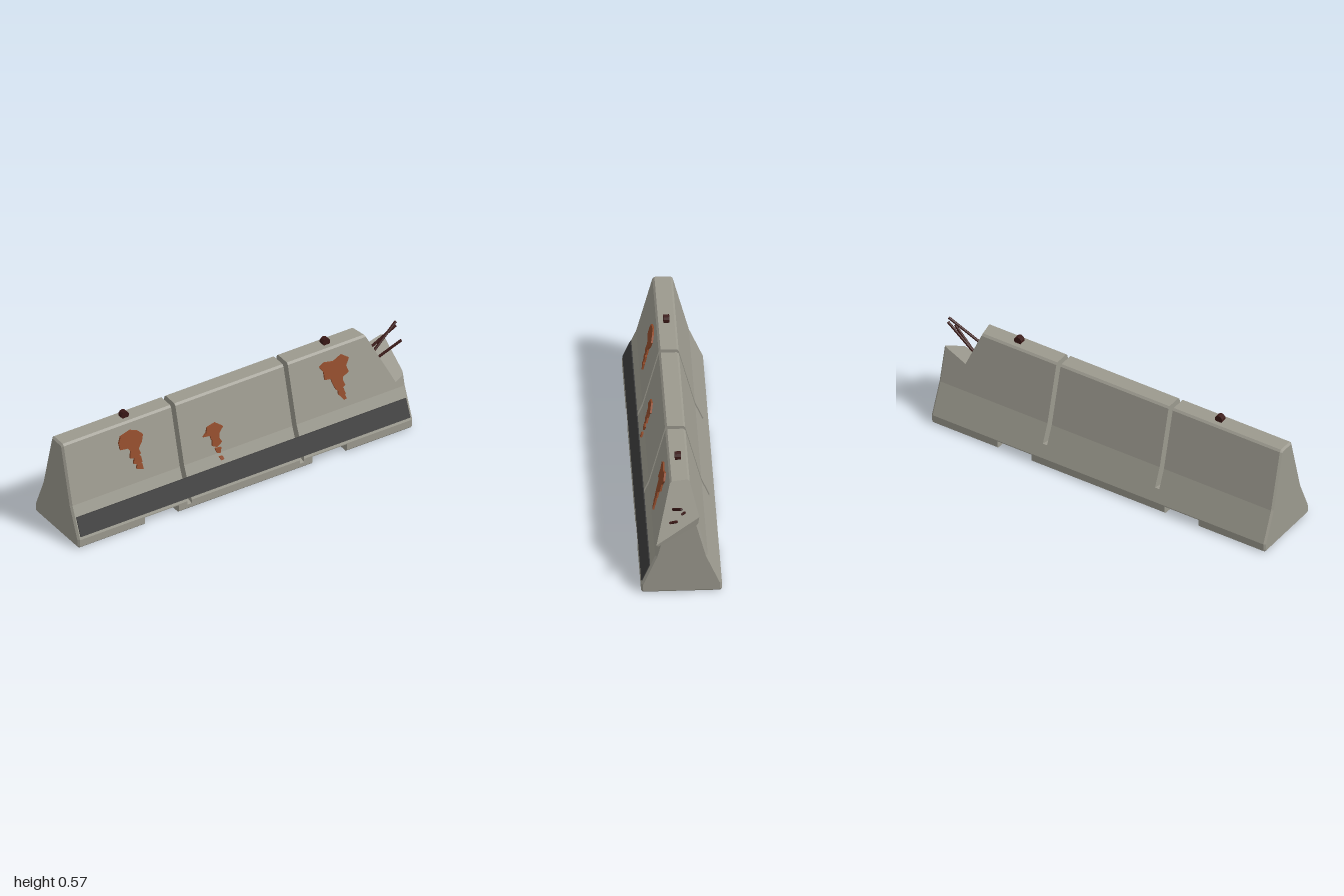
import * as THREE from 'three';
import { ConvexGeometry } from 'three/addons/geometries/ConvexGeometry.js';
import { mergeGeometries } from 'three/addons/utils/BufferGeometryUtils.js';

const X0 = -1, X1 = 0.965, CH = 0.01, WAIST = 0.215;

// half-space a*x + b*y + c*z <= d
const half = (a, b, c, d) => ({ n: new THREE.Vector3(a, b, c), d });

// convex solid: every corner where three planes meet inside all the others
function solid(planes) {
  const pts = [], m = new THREE.Matrix3();
  for (let i = 0; i < planes.length; i++)
    for (let j = i + 1; j < planes.length; j++)
      for (let k = j + 1; k < planes.length; k++) {
        const t = [planes[i], planes[j], planes[k]];
        m.set(...t.flatMap((p) => p.n.toArray()));
        if (Math.abs(m.determinant()) < 1e-6) continue;
        const v = new THREE.Vector3(...t.map((p) => p.d)).applyMatrix3(m.invert());
        if (planes.every((p) => p.n.dot(v) <= p.d + 1e-6) && !pts.some((q) => q.distanceTo(v) < 1e-4)) pts.push(v);
      }
  return new ConvexGeometry(pts);
}

// mirrored side planes through profile points [halfWidth, y], listed upwards
function sides(profile) {
  const out = [];
  for (let i = 0; i + 1 < profile.length; i++) {
    const [w0, y0] = profile[i], [w1, y1] = profile[i + 1];
    const l = Math.hypot(w1 - w0, y1 - y0), nz = (y1 - y0) / l, ny = (w0 - w1) / l;
    for (const s of [1, -1]) out.push(half(0, ny, s * nz, ny * y0 + nz * w0));
  }
  return out;
}

// adds the two end faces and their small bevels
const closeEnds = (planes) => [
  ...planes,
  ...planes.flatMap((p) => [
    half(1, p.n.y, p.n.z, p.d + X1 - CH),
    half(-1, p.n.y, p.n.z, p.d - X0 - CH),
  ]),
  half(1, 0, 0, X1), half(-1, 0, 0, -X0),
];
const range = (a, b) => [half(1, 0, 0, b), half(-1, 0, 0, -a)];
const above = (y) => half(0, -1, 0, -y);
const below = (y) => half(0, 1, 0, y);

function bodyGeometry() {
  const upper = [...closeEnds([...sides([[0.13, WAIST], [0.05, 0.525], [0.04, 0.535]]), below(0.535)]), above(WAIST)];
  const lower = [...closeEnds([...sides([[0.19, 0], [0.2, 0.01], [0.2, 0.05], [0.13, WAIST]]), above(0)]), below(WAIST)];
  const parts = [];
  // upper blocks, the last one broken off by two sloping planes
  const breakWall = half(1, 0.42, -0.177, 0.9947);
  const breakFloor = half(-0.45, 1, 0.66, -0.084);
  parts.push(solid([...upper, ...range(X0, -0.36)]));
  parts.push(solid([...upper, ...range(-0.335, 0.3)]));
  parts.push(solid([...upper, ...range(0.325, X1), breakWall]));
  parts.push(solid([...upper, ...range(0.76, X1), breakFloor]));
  // flared lower blocks
  for (const [a, b] of [[X0, -0.36], [-0.335, 0.3], [0.325, X1]])
    parts.push(solid([...lower, ...range(a, b), above(0.045)]));
  // feet between the lifting slots
  for (const [a, b] of [[X0, -0.61], [-0.41, -0.36], [-0.335, 0.3], [0.325, 0.375], [0.575, X1]])
    parts.push(solid([...lower, ...range(a, b), below(0.045)]));
  // sloping floors of the joint grooves
  for (const [a, b] of [[-0.36, -0.335], [0.3, 0.325]])
    parts.push(solid([...lower, ...range(a, b), half(0, 1, 0.23, 0.03 + 0.23 * 0.2)]));
  return mergeGeometries(parts);
}

// depth of the front surface at a height
const faceZ = (y) => (y > WAIST ? 0.13 - (y - WAIST) * 0.258 : 0.13 + (WAIST - y) * 0.424);

// thin flake cut to an outline [x, y] and laid on the front surface
function flake(outline, depth) {
  const shape = new THREE.Shape(outline.map(([x, y]) => new THREE.Vector2(x, y)));
  const g = new THREE.ExtrudeGeometry(shape, { depth, bevelEnabled: false });
  const p = g.attributes.position;
  for (let i = 0; i < p.count; i++) p.setZ(i, p.getZ(i) + faceZ(p.getY(i)));
  g.computeVertexNormals();
  return g;
}

const RUST = {
  leftRust: [
    [[-0.685, 0.445], [-0.67, 0.475], [-0.61, 0.49], [-0.57, 0.475], [-0.543, 0.45], [-0.555, 0.415], [-0.58, 0.385], [-0.62, 0.38], [-0.64, 0.405], [-0.682, 0.41]],
    [[-0.625, 0.39], [-0.58, 0.39], [-0.57, 0.36], [-0.59, 0.345], [-0.632, 0.35]],
    [[-0.61, 0.348], [-0.572, 0.345], [-0.568, 0.315], [-0.59, 0.308], [-0.618, 0.318]],
    [[-0.6, 0.308], [-0.57, 0.306], [-0.567, 0.275], [-0.605, 0.288]],
  ],
  middleRust: [
    [[-0.21, 0.325], [-0.19, 0.34], [-0.18, 0.365], [-0.13, 0.375], [-0.09, 0.345], [-0.115, 0.32], [-0.12, 0.295], [-0.165, 0.295], [-0.17, 0.32]],
    [[-0.16, 0.295], [-0.12, 0.295], [-0.108, 0.27], [-0.14, 0.252], [-0.165, 0.265]],
    [[-0.152, 0.247], [-0.117, 0.243], [-0.125, 0.218], [-0.145, 0.222]],
    [[-0.137, 0.2], [-0.117, 0.198], [-0.112, 0.184], [-0.13, 0.182]],
  ],
  rightRust: [
    [[0.495, 0.46], [0.525, 0.475], [0.58, 0.465], [0.63, 0.485], [0.667, 0.458], [0.645, 0.425], [0.655, 0.39], [0.62, 0.375], [0.61, 0.35], [0.555, 0.36], [0.55, 0.385], [0.515, 0.39], [0.515, 0.43]],
    [[0.555, 0.36], [0.615, 0.36], [0.625, 0.33], [0.59, 0.31], [0.57, 0.32]],
    [[0.58, 0.315], [0.612, 0.32], [0.62, 0.285], [0.6, 0.275], [0.58, 0.29]],
    [[0.59, 0.28], [0.615, 0.282], [0.622, 0.26], [0.605, 0.258]],
  ],
};

// rods sticking out of the broken end: [from, to]
const RODS = [
  [[0.81, 0.39, 0.04], [0.99, 0.513, 0.001]],
  [[0.81, 0.368, -0.023], [0.993, 0.487, -0.002]],
  [[0.835, 0.332, 0.015], [0.988, 0.433, 0.056]],
];

export function createModel() {
  const group = new THREE.Group();
  const material = (color) => new THREE.MeshStandardMaterial({ color, flatShading: true });
  const rust = material(0x8f4a2a), iron = material(0x3a1816);
  const add = (name, geometry, mat) => {
    const mesh = new THREE.Mesh(geometry, mat);
    mesh.name = name;
    group.add(mesh);
    return mesh;
  };

  add('concreteBody', bodyGeometry(), material(0x9b998e));

  // dark painted band along the front flare
  add('darkBand', flake([[-0.985, 0.065], [0.95, 0.065], [0.95, 0.158], [-0.985, 0.158]], 0.005), material(0x3b3b3b));

  for (const [name, outlines] of Object.entries(RUST))
    add(name, mergeGeometries(outlines.map((o) => flake(o, 0.009))), rust);

  // lifting lugs on the top
  for (const x of [-0.607, 0.575]) {
    const lug = add('liftingLug', new THREE.CylinderGeometry(0.022, 0.022, 0.03, 10), iron);
    lug.rotation.x = Math.PI / 2;
    lug.position.set(x, 0.548, 0);
  }

  // exposed reinforcing rods
  const up = new THREE.Vector3(0, 1, 0);
  for (const [from, to] of RODS) {
    const a = new THREE.Vector3(...from), b = new THREE.Vector3(...to);
    const dir = b.clone().sub(a);
    const rod = add('reinforcingRod', new THREE.CylinderGeometry(0.007, 0.007, dir.length(), 8), iron);
    rod.position.copy(a).add(b).multiplyScalar(0.5);
    rod.quaternion.setFromUnitVectors(up, dir.normalize());
  }
  return group;
}
